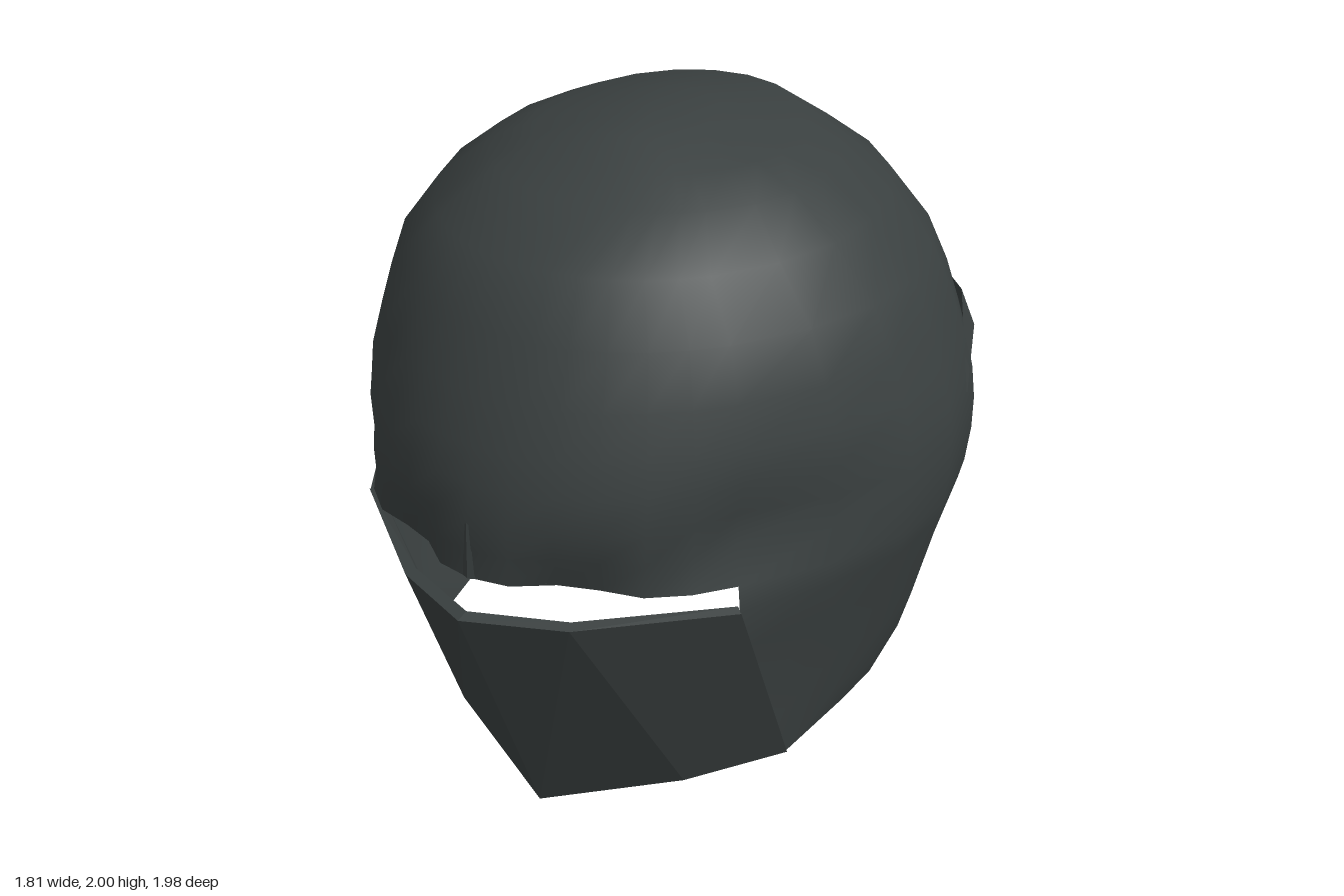
import * as THREE from 'three';

const HALF = 14, FRONT = 6;           // columns per half ring, columns over the face

// Shell levels: y, half width, front z, back z
const LEVELS = [
  [1.985, 0.17, 0.21, -0.22], [1.93, 0.37, 0.33, -0.52], [1.87, 0.50, 0.45, -0.60],
  [1.76, 0.64, 0.66, -0.74], [1.6, 0.77, 0.765, -0.84], [1.45, 0.83, 0.84, -0.91],
  [1.32, 0.87, 0.895, -0.95], [1.22, 0.897, 0.92, -0.98], [1.12, 0.908, 0.94, -0.988],
  [1.02, 0.907, 0.94, -0.98], [0.91, 0.893, 0.94, -0.965],
  [0.84, 0.875, 0.973, -0.955], [0.7, 0.83, 0.957, -0.935], [0.52, 0.78, 0.946, -0.885],
  [0.36, 0.73, 1.017, -0.84], [0.23, 0.68, 1.40, -0.80],
];
const SLIT_ROW = 10;                  // below this row the face is left open

const bump = (dx, dy, r) => Math.exp(-(dx * dx + dy * dy) / (r * r));

function shellPoint(row, j) {
  const [y, w, zf, zb] = LEVELS[row];
  const side = j > HALF ? -1 : 1;
  const k = j > HALF ? 2 * HALF - j : j;
  const edge = Math.asin(row >= SLIT_ROW ? 0.64 / w : 0.717);
  const a = k <= FRONT ? edge * k / FRONT
    : edge + (Math.PI - edge) * (k - FRONT) / (HALF - FRONT);
  const zc = -0.05 * Math.min(1, (2 - y) / 0.3);
  const c = Math.cos(a);
  // The face is wedge-shaped, the crown rounder
  const taper = THREE.MathUtils.mapLinear(THREE.MathUtils.clamp(y, 1.3, 1.7), 1.3, 1.7, 1.35, 1.1);
  let x = k === HALF ? 0 : w * Math.sin(a);
  let z = c > 0 ? zc + (zf - zc) * Math.pow(c, taper) : zc + (zb - zc) * Math.pow(-c, 0.92);
  // Hollows beside the cheeks and under the brow
  if (row <= SLIT_ROW && z > 0.1) {
    const d = 1 - 0.09 * bump(x - 0.68, y - 1.06, 0.13) - 0.08 * bump(x - 0.28, y - 0.92, 0.13);
    x *= d; z *= d;
  }
  // Shallow hollow above the rear hem
  if (z < -0.1) {
    const d = 1 - 0.03 * bump(z + 0.62, y - 0.42, 0.16);
    x *= d; z *= d;
  }
  // The slit and the hem are slightly arched
  let yy = y;
  if (row === SLIT_ROW && k < FRONT) yy += 0.025 * (1 - k / FRONT);
  if (row === LEVELS.length - 1) yy = k === FRONT ? 0.21 : 0.24 + 0.01 * Math.sin(a);
  return [side * x, yy, z];
}

function geometryFrom(points, index) {
  const g = new THREE.BufferGeometry();
  g.setAttribute('position', new THREE.Float32BufferAttribute(points.flat(), 3));
  g.setIndex(index);
  g.computeVertexNormals();
  return g;
}

function faceted(points, index) {
  const g = geometryFrom(points, index).toNonIndexed();
  g.computeVertexNormals();
  return g;
}

function shellGeometry() {
  const n = 2 * HALF, pts = [[0, 2, 0]], idx = [];
  const id = (r, j) => 1 + r * n + (j % n);
  LEVELS.forEach((_, r) => { for (let j = 0; j < n; j++) pts.push(shellPoint(r, j)); });
  for (let j = 0; j < n; j++) idx.push(0, id(0, j), id(0, j + 1));
  for (let r = 0; r < LEVELS.length - 1; r++) {
    for (let j = 0; j < n; j++) {
      if (r >= SLIT_ROW && (j < FRONT || j >= n - FRONT)) continue;
      idx.push(id(r, j), id(r + 1, j), id(r, j + 1));
      idx.push(id(r, j + 1), id(r + 1, j), id(r + 1, j + 1));
    }
  }
  return geometryFrom(pts, idx);
}

// Keeled lower plate: closed loop of outer and inner edges
function faceplateGeometry() {
  const loops = [
    [[0, 0, 0.63], [0.4, 0.12, 0.46], [0.645, 0.208, 0.28]],
    [[0, 0.825, 0.995], [0.28, 0.815, 0.865], [0.645, 0.835, 0.56]],
    [[0, 0.835, 0.955], [0.265, 0.825, 0.835], [0.625, 0.845, 0.545]],
    [[0, 0.03, 0.60], [0.385, 0.14, 0.43], [0.625, 0.22, 0.265]],
  ];
  const pts = [], idx = [];
  for (const half of loops) {
    for (let c = -2; c <= 2; c++) {
      const [x, y, z] = half[Math.abs(c)];
      pts.push([Math.sign(c) * x, y, z]);
    }
  }
  for (let r = 0; r < 4; r++) {
    const s = ((r + 1) % 4) * 5;
    for (let c = 0; c < 4; c++) {
      const a = r * 5 + c, d = s + c;
      idx.push(a, a + 1, d + 1, a, d + 1, d);
    }
  }
  return faceted(pts, idx);
}

// Low raised facet behind each temple
function templeGeometry(side) {
  const pts = [
    [0.75, 1.27, -0.6], [0.88, 1.2, -0.3], [0.725, 1.4, -0.55], [0.48, 1.39, -0.8], [0.735, 1.22, -0.62],
  ].map(([x, y, z]) => [side * x, y, z]);
  const idx = [];
  for (let i = 0; i < 4; i++) {
    const a = 1 + i, b = 1 + (i + 1) % 4;
    if (side > 0) idx.push(0, b, a); else idx.push(0, a, b);
  }
  return faceted(pts, idx);
}

export function createModel() {
  const group = new THREE.Group();
  group.name = 'helmet';
  const steel = new THREE.MeshStandardMaterial({ color: 0x3a4040, side: THREE.DoubleSide });
  steel.name = 'dark steel';
  const add = (name, geometry) => {
    const mesh = new THREE.Mesh(geometry, steel);
    mesh.name = name;
    group.add(mesh);
  };

  add('shell', shellGeometry());
  add('faceplate', faceplateGeometry());
  // Small wedge above the slit
  add('noseWedge', faceted(
    [[0, 1.11, 0.942], [-0.2, 0.935, 0.85], [0, 0.935, 0.945], [0.2, 0.935, 0.85]],
    [0, 1, 2, 0, 2, 3]));
  add('leftTempleFacet', templeGeometry(1));
  add('rightTempleFacet', templeGeometry(-1));
  return group;
}
